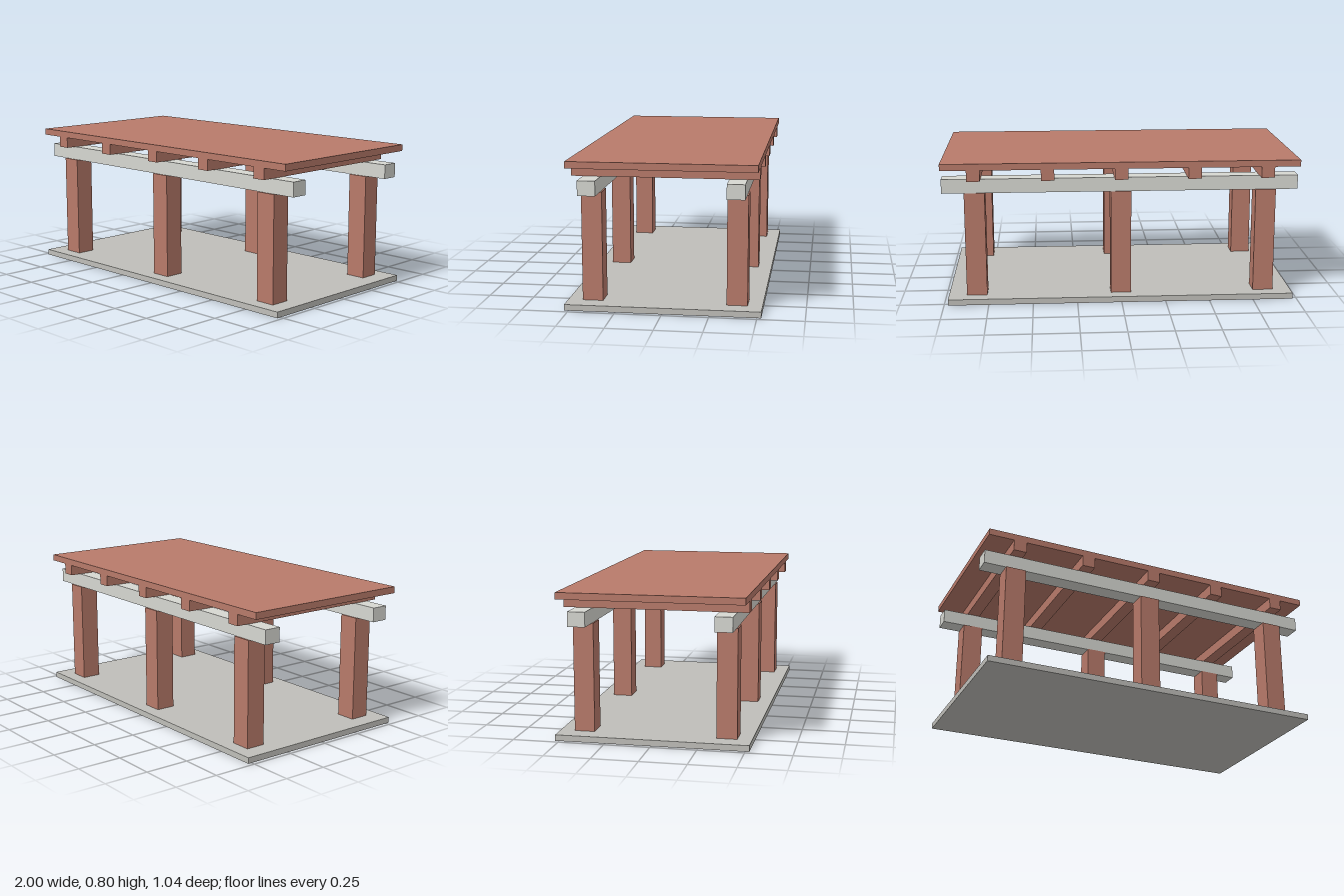
import * as THREE from 'three';

export function createModel() {
  const model = new THREE.Group();
  model.name = 'pavilion';

  const wood = new THREE.MeshStandardMaterial({ color: 0xb87a6a });
  const slab = new THREE.MeshStandardMaterial({ color: 0xbfbeb9 });
  const pale = new THREE.MeshStandardMaterial({ color: 0xd6d7d1 });

  // Box spanning y0..y1, centred on x and z
  function box(name, material, x, z, width, depth, y0, y1) {
    const mesh = new THREE.Mesh(new THREE.BoxGeometry(width, y1 - y0, depth), material);
    mesh.name = name;
    mesh.position.set(x, (y0 + y1) / 2, z);
    model.add(mesh);
  }

  const baseTop = 0.033, columnTop = 0.625, beamTop = 0.705, joistTop = 0.767, roofTop = 0.804;

  // Floor slab
  box('baseSlab', slab, 0, 0, 1.955, 1.045, 0, baseTop);

  // Two rows of three columns, each row carrying a long beam
  for (const z of [0.388, -0.388]) {
    for (const x of [-0.818, 0, 0.818]) {
      box('column', wood, x, z, 0.115, 0.111, baseTop, columnTop);
    }
    box('beam', pale, 0, z, 2, 0.095, columnTop, beamTop);
  }

  // Cross joists under the roof
  for (let i = -2; i <= 2; i++) {
    box('joist', wood, i * 0.409, 0, 0.074, 1, beamTop, joistTop);
  }

  // Flat roof panel
  box('roof', wood, 0, 0, 2, 1, joistTop, roofTop);

  return model;
}
